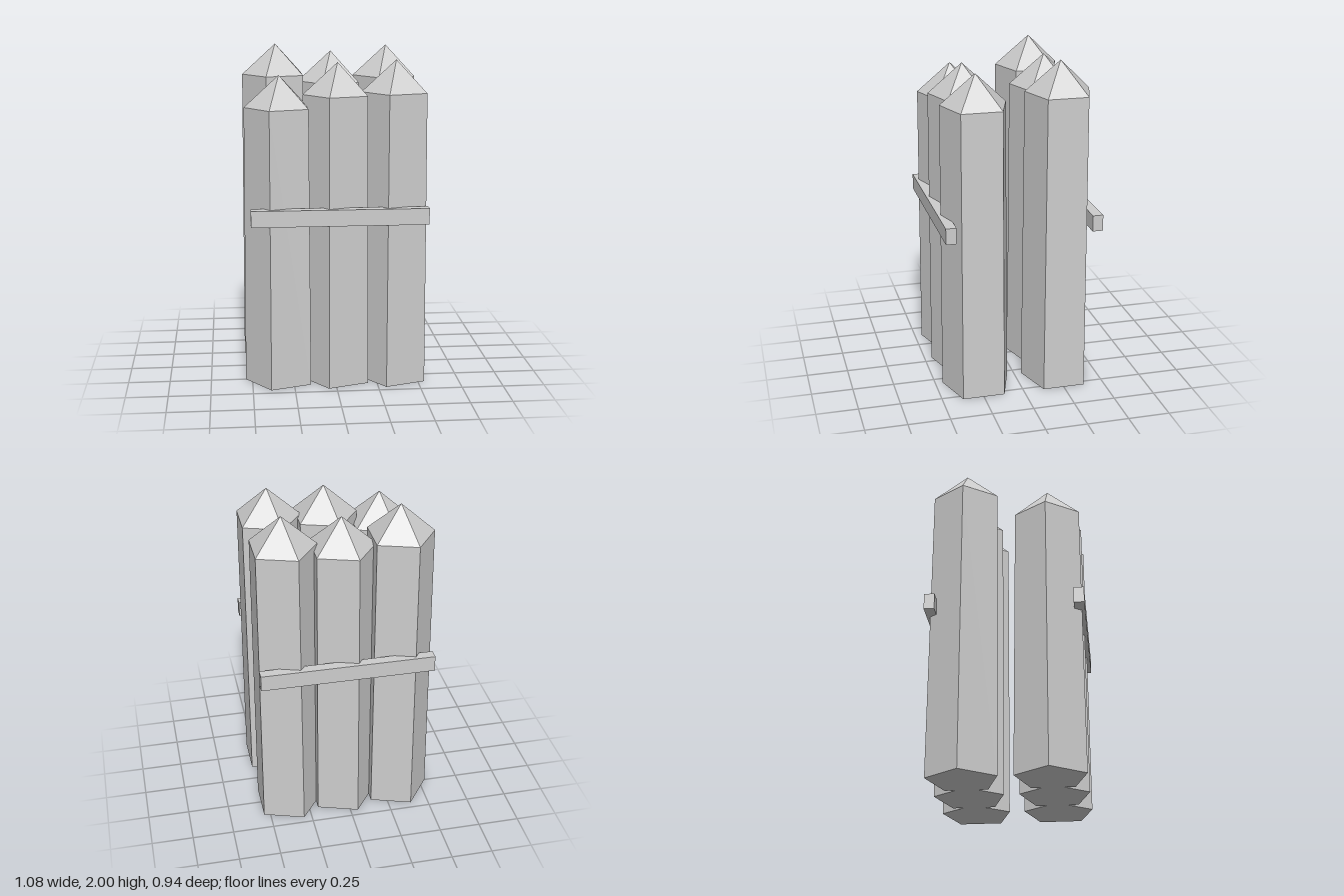
import * as THREE from 'three';

const stone = new THREE.MeshStandardMaterial({ color: 0xcccccc, flatShading: true });
stone.name = 'pale grey';

// Five-sided tapered stake with a pyramid point, one corner towards -x
function makeStake(x, z, apex) {
  const profile = [[0, 0], [0.2155, 0], [0.205, apex - 0.187], [0, apex]]
    .map(([r, y]) => new THREE.Vector2(r, y));
  const stake = new THREE.Mesh(new THREE.LatheGeometry(profile, 5, -Math.PI / 2), stone);
  stake.position.set(x, 0, z);
  return stake;
}

export function createModel() {
  const model = new THREE.Group();
  model.name = 'palisade';

  const columns = [-0.324, 0.02, 0.365];
  const rows = [
    { name: 'front', side: 1, apexes: [1.855, 1.927, 1.94] },
    { name: 'back', side: -1, apexes: [2.0, 1.955, 1.99] },
  ];

  for (const { name, side, apexes } of rows) {
    // Row of stakes
    columns.forEach((x, i) => {
      const stake = makeStake(x, side * 0.25, apexes[i]);
      stake.name = `${name}Stake${i + 1}`;
      model.add(stake);
    });

    // Rail holding the row together
    const rail = new THREE.Mesh(new THREE.BoxGeometry(1.04, 0.097, 0.062), stone);
    rail.name = `${name}Rail`;
    rail.position.set(0.02, 1.046, side === 1 ? 0.436 : -0.44);
    model.add(rail);
  }
  return model;
}
